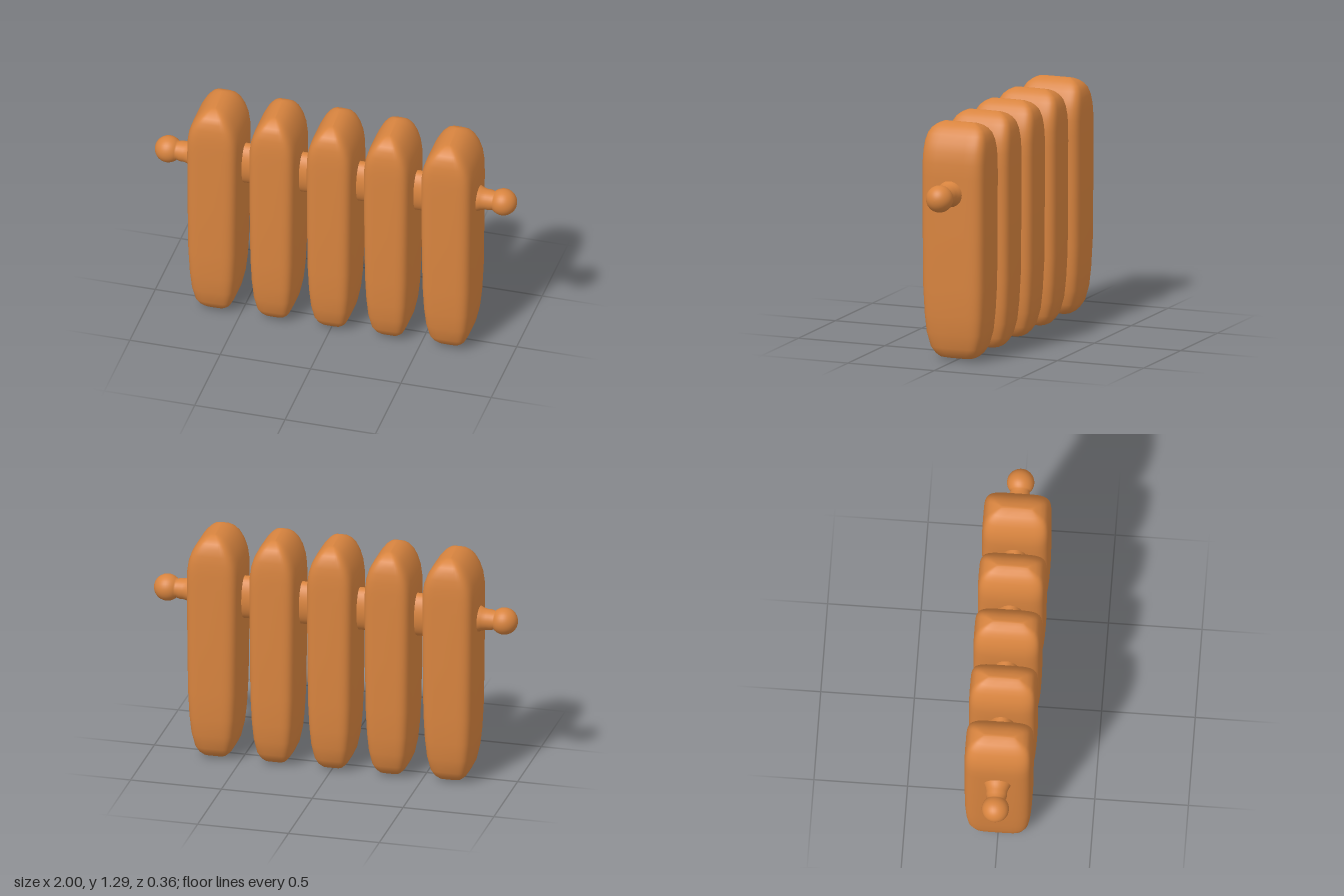
import * as THREE from 'three';

const copper = new THREE.MeshStandardMaterial({ color: 0xd8843f });
copper.name = 'copper orange';

// Height, half width (as a fraction of the fin's) and half depth up one fin
const FIN_PROFILE = [
  [0.005, 0.2, 0.07], [0.015, 0.46, 0.1], [0.035, 0.6, 0.12], [0.07, 0.72, 0.143],
  [0.15, 0.84, 0.163], [0.25, 0.91, 0.172], [0.4, 0.96, 0.179], [0.7, 0.985, 0.181],
  [1.0, 1.0, 0.181], [1.08, 0.99, 0.181], [1.14, 0.93, 0.179], [1.19, 0.81, 0.174],
  [1.23, 0.65, 0.164], [1.255, 0.5, 0.148], [1.273, 0.35, 0.125], [1.284, 0.18, 0.1],
  [1.288, 0.05, 0.085],
];

// Stacks rounded-rectangle rings up the profile and closes both ends
function finGeometry(halfWidth) {
  const sides = 48, power = 2 / 5;
  const positions = [], index = [];
  const soft = (v) => Math.sign(v) * Math.abs(v) ** power;
  for (const [y, w, d] of FIN_PROFILE) {
    for (let i = 0; i < sides; i++) {
      const a = (i / sides) * Math.PI * 2;
      positions.push(soft(Math.cos(a)) * w * halfWidth, y, soft(Math.sin(a)) * d);
    }
  }
  const rings = FIN_PROFILE.length;
  for (let r = 0; r < rings - 1; r++) {
    for (let i = 0; i < sides; i++) {
      const a = r * sides + i, b = r * sides + (i + 1) % sides;
      index.push(a, a + sides, b, b, a + sides, b + sides);
    }
  }
  const bottom = positions.length / 3, top = bottom + 1, last = (rings - 1) * sides;
  positions.push(0, 0, 0, 0, 1.29, 0);
  for (let i = 0; i < sides; i++) {
    const j = (i + 1) % sides;
    index.push(bottom, i, j, top, last + j, last + i);
  }
  const geometry = new THREE.BufferGeometry();
  geometry.setAttribute('position', new THREE.Float32BufferAttribute(positions, 3));
  geometry.setIndex(index);
  geometry.computeVertexNormals();
  return geometry;
}

// Flared neck running into a ball end, turned about its axis
function knobGeometry() {
  const neck = [[0.075, 0.77], [0.072, 0.79], [0.062, 0.81], [0.056, 0.835], [0.056, 0.855]];
  const points = neck.map(([r, y]) => new THREE.Vector2(r, y));
  const start = -0.8, steps = 16;
  for (let i = 0; i <= steps; i++) {
    const a = start + (Math.PI / 2 - start) * (i / steps);
    points.push(new THREE.Vector2(Math.max(0, 0.073 * Math.cos(a)), 0.927 + 0.073 * Math.sin(a)));
  }
  return new THREE.LatheGeometry(points, 32);
}

export function createModel() {
  const model = new THREE.Group();
  model.name = 'radiator';

  const add = (geometry, name) => {
    const mesh = new THREE.Mesh(geometry, copper);
    mesh.name = name;
    model.add(mesh);
    return mesh;
  };

  // Five upright fins, the outer pair a little wider
  const outer = finGeometry(0.145), inner = finGeometry(0.131);
  [-0.648, -0.317, 0, 0.317, 0.648].forEach((x, i) => {
    add(i % 4 === 0 ? outer : inner, `fin${i + 1}`).position.x = x;
  });

  // Oval connecting pipe through all fins
  const pipe = new THREE.CylinderGeometry(1, 1, 1.2, 40);
  pipe.rotateZ(Math.PI / 2);
  pipe.scale(1, 0.12, 0.068);
  add(pipe, 'connectingPipe').position.y = 0.91;

  // Knob at each end
  const knob = knobGeometry();
  for (const side of [-1, 1]) {
    const mesh = add(knob, side > 0 ? 'leftKnob' : 'rightKnob');
    mesh.rotation.z = -side * Math.PI / 2;
    mesh.position.y = 0.92;
  }
  return model;
}
